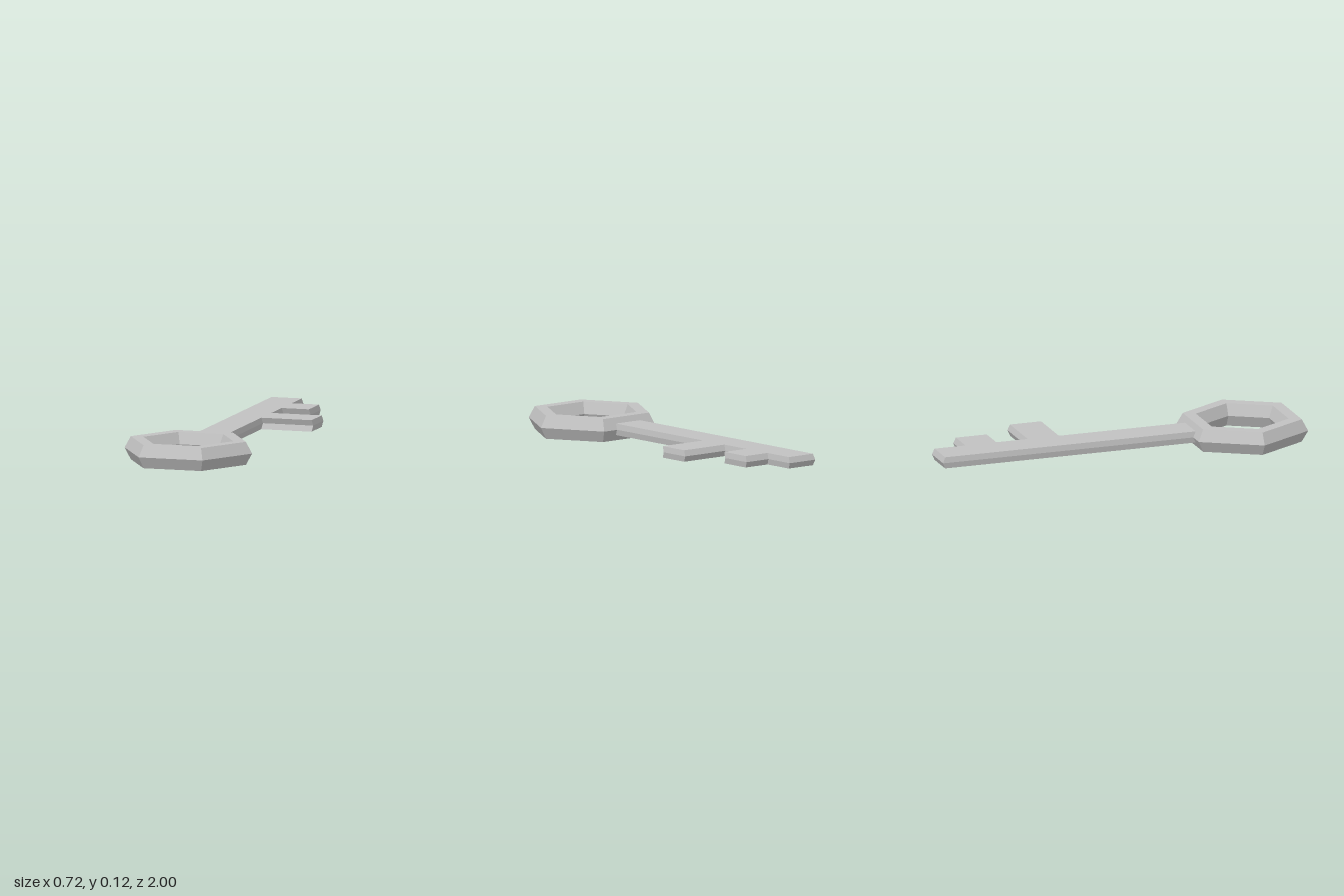
import * as THREE from 'three';

const metal = new THREE.MeshStandardMaterial({ color: 0xc0c0c0, flatShading: true });
metal.name = 'grey metal';

// Six-sided ring with a hexagonal cross-section
function makeBow() {
  const profile = [
    [0.317, 0], [0.351, 0.061], [0.317, 0.122],
    [0.247, 0.122], [0.217, 0.061], [0.247, 0], [0.317, 0],
  ].map(([r, y]) => new THREE.Vector2(r, y));
  const geometry = new THREE.LatheGeometry(profile, 6);
  geometry.rotateY(Math.PI / 6);
  const bow = new THREE.Mesh(geometry, metal);
  bow.name = 'bow';
  bow.position.set(-0.007, 0, 0.696);
  return bow;
}

// Flat shaft with two teeth, its middle layer pushed toward the tip
function makeBlade() {
  const outline = [
    [-0.091, 0.43], [0.075, 0.43],
    [0.075, -0.295], [0.352, -0.295], [0.352, -0.468], [0.075, -0.468],
    [0.075, -0.643], [0.225, -0.643], [0.225, -0.815], [0.075, -0.815],
    [0.075, -0.987], [-0.091, -0.987],
  ].map(([x, z]) => new THREE.Vector2(x, -z));
  const thickness = 0.061;
  const geometry = new THREE.ExtrudeGeometry(new THREE.Shape(outline), {
    depth: thickness, steps: 2, bevelEnabled: false,
  });
  geometry.rotateX(-Math.PI / 2);

  // Side ridge along the middle of the thickness
  const p = geometry.attributes.position;
  for (let i = 0; i < p.count; i++) {
    if (Math.abs(p.getY(i) - thickness / 2) < 0.01) {
      p.setX(i, p.getX(i) + Math.sign(p.getX(i)) * 0.005);
      p.setZ(i, p.getZ(i) - 0.013);
    }
  }
  geometry.computeVertexNormals();
  const blade = new THREE.Mesh(geometry, metal);
  blade.name = 'shaftAndTeeth';
  blade.position.y = 0.031;
  return blade;
}

export function createModel() {
  const key = new THREE.Group();
  key.name = 'key';
  key.add(makeBow(), makeBlade());
  return key;
}
